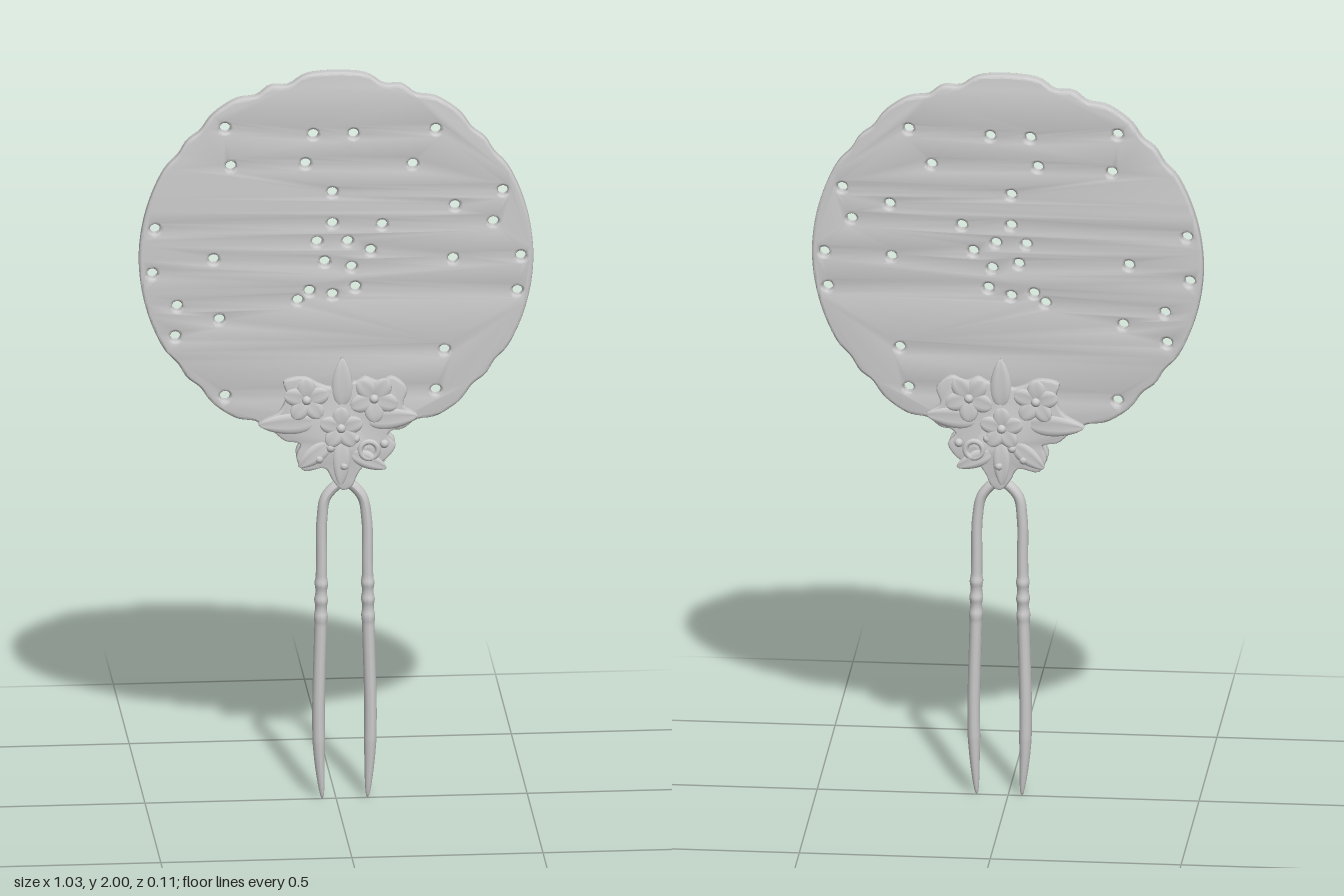
import * as THREE from 'three';
import { toCreasedNormals } from 'three/addons/utils/BufferGeometryUtils.js';

const material = new THREE.MeshStandardMaterial({ color: 0xcccccc });
const V = (x, y, z = 0) => new THREE.Vector3(x, y, z);

function add(parent, name, geometry, x = 0, y = 0, z = 0) {
  const mesh = new THREE.Mesh(geometry, material);
  mesh.name = name;
  mesh.position.set(x, y, z);
  parent.add(mesh);
  return mesh;
}

// Plate with rounded edges, centred on z = 0
function plate(shape, thickness, bevel) {
  const geometry = new THREE.ExtrudeGeometry(shape, {
    depth: thickness - 2 * bevel, bevelThickness: bevel, bevelSize: bevel,
    bevelOffset: -bevel, bevelSegments: 3, curveSegments: 8,
  });
  geometry.translate(0, 0, -thickness / 2 + bevel);
  return toCreasedNormals(geometry, 0.65);
}

function punch(shape, x, y, r) {
  const hole = new THREE.Path();
  hole.absarc(x, y, r, 0, Math.PI * 2, true);
  shape.holes.push(hole);
}

// Round fan, scalloped along the top and bottom
const HOLES = [
  [-.29, 1.85], [-.06, 1.83], [.045, 1.83], [.26, 1.84], [-.275, 1.745], [-.08, 1.75], [.2, 1.745],
  [-.01, 1.67], [.435, 1.67], [.31, 1.63], [-.473, 1.575], [-.01, 1.585], [.12, 1.58], [.41, 1.585],
  [-.05, 1.535], [.03, 1.535], [.09, 1.51], [-.32, 1.49], [-.03, 1.48], [.04, 1.465], [.305, 1.485],
  [.482, 1.49], [-.48, 1.453], [-.07, 1.40], [-.1, 1.375], [-.01, 1.39], [.05, 1.41], [.473, 1.395],
  [-.415, 1.363], [-.305, 1.325], [-.42, 1.28], [.283, 1.235], [-.29, 1.115], [.26, 1.125],
];
function fanGeometry() {
  const notches = [[15, .02], [25, .018], [45.5, .012], [55, .01]];
  const points = [];
  for (let i = 0; i < 240; i++) {
    const a = (i / 240) * Math.PI * 2;
    const fromVertical = THREE.MathUtils.radToDeg(Math.acos(Math.abs(Math.sin(a))));
    let r = 0.515 - 0.005 * Math.abs(Math.sin(a));
    for (const [angle, depth] of notches) r -= depth * Math.exp(-(((fromVertical - angle) / 4) ** 2));
    points.push(new THREE.Vector2(r * Math.cos(a), 1.49 + r * Math.sin(a)));
  }
  const shape = new THREE.Shape(points);
  for (const [x, y] of HOLES) punch(shape, x, y, 0.0135);
  return plate(shape, 0.034, 0.008);
}

// Outline of the leaf and flower cluster
const CLUSTER = [
  [.015, 1.222], [.03, 1.18], [.045, 1.155], [.075, 1.168], [.11, 1.155], [.145, 1.168], [.185, 1.135],
  [.175, 1.09], [.212, 1.06], [.175, 1.035], [.135, 1.01], [.155, .98], [.12, .935], [.075, .925],
  [.055, .9], [.04, .868], [.015, .858], [-.01, .885], [-.03, .918], [-.085, .912], [-.105, .95],
  [-.095, .985], [-.135, .995], [-.165, 1.02], [-.205, 1.04], [-.15, 1.075], [-.13, 1.12],
  [-.138, 1.158], [-.08, 1.168], [-.045, 1.15], [-.012, 1.142], [0, 1.185],
];
function clusterGeometry() {
  const curve = new THREE.CatmullRomCurve3(CLUSTER.map(([x, y]) => V(x, y)), true, 'centripetal');
  const shape = new THREE.Shape(curve.getPoints(128).slice(0, -1).map(p => new THREE.Vector2(p.x, p.y)));
  punch(shape, 0.085, 0.968, 0.014);
  return plate(shape, 0.022, 0.006);
}

// Padded petal growing along +x; sharp > 1 gives a pointed leaf, with a groove down the middle
function petalGeometry(length, width, thickness, sharp) {
  const geometry = new THREE.SphereGeometry(1, 16, 20);
  geometry.rotateZ(-Math.PI / 2);
  const p = geometry.attributes.position;
  for (let i = 0; i < p.count; i++) {
    const t = (p.getX(i) + 1) / 2;
    const y = p.getY(i);
    const taper = Math.pow(1 - t * 0.85, sharp - 1);
    const groove = 1 - 0.45 * Math.exp(-((y / 0.22) ** 2));
    p.setXYZ(i, t * length, y * width / 2 * taper, p.getZ(i) * thickness / 2 * groove);
  }
  geometry.computeVertexNormals();
  return geometry;
}

function buildOrnament(side) {
  const group = new THREE.Group();
  group.name = side > 0 ? 'frontOrnament' : 'backOrnament';
  add(group, 'clusterBody', clusterGeometry(), 0, 0, side * 0.022);

  const petal = (name, x, y, z, degrees, length, width, thickness, sharp, lift = 0.05) => {
    const mesh = add(group, name, petalGeometry(length, width, thickness, sharp), x, y, side * z);
    mesh.rotation.set(0, -side * lift, THREE.MathUtils.degToRad(degrees), 'ZYX');
  };

  // Pointed leaves: one upright, two to the sides, two low down
  const leaves = [
    [.015, 1.09, 90, .13, .065], [-.06, 1.045, 182, .142, .07], [.08, 1.05, 4, .13, .07],
    [-.02, .985, 218, .1, .06], [.04, .96, -25, .1, .055], [.015, .99, -92, .12, .055],
  ];
  for (const [x, y, angle, length, width] of leaves) {
    petal('leaf', x, y, .031, angle, length, width, .018, 1.35, 0);
  }

  // Five-petal flowers with round hearts
  const flowers = [[-.078, 1.108, .06, 20], [.098, 1.11, .064, 55], [.012, 1.03, .058, 90]];
  for (const [x, y, size, turn] of flowers) {
    for (let k = 0; k < 5; k++) petal('petal', x, y, .034, turn + k * 72, size, size * .8, .014, 1, .07);
    add(group, 'flowerHeart', new THREE.SphereGeometry(.0125, 14, 10), x, y, side * .037);
  }

  // Curl around the opening and small buds
  add(group, 'curl', new THREE.TorusGeometry(.023, .008, 8, 24), .085, .968, side * .032);
  for (const [x, y] of [[-.045, .945], [.02, .925], [-.015, .975], [.125, .985], [.05, 1.0]]) {
    add(group, 'bud', new THREE.SphereGeometry(.012, 12, 8), x, y, side * .031);
  }
  return group;
}

// Two-legged hairpin: a bent rod with collars and tapering tips
function pinGeometry() {
  const path = new THREE.CatmullRomCurve3([
    V(-.036, .004), V(-.044, .12), V(-.046, .25), V(-.04, .5), V(-.038, .65), V(-.037, .77),
    V(-.025, .835), V(.022, .872), V(.066, .835), V(.08, .77), V(.082, .65), V(.084, .5),
    V(.09, .25), V(.088, .12), V(.082, .004),
  ], false, 'centripetal');
  const segments = 320, sides = 14;
  const radiusAt = y => {
    let r = y < .5 ? .0165 : THREE.MathUtils.lerp(.0155, .0135, (y - .5) / .4);
    for (const collar of [.505, .55, .595]) r += .003 * Math.exp(-(((y - collar) / .011) ** 2));
    return r * Math.pow(Math.min(1, Math.max(0, y - .004) / .16), .45);
  };
  const geometry = new THREE.TubeGeometry(path, segments, 1, sides);
  const p = geometry.attributes.position;
  for (let i = 0; i < p.count; i++) {
    const c = path.getPointAt(Math.floor(i / (sides + 1)) / segments);
    const r = radiusAt(c.y);
    p.setXYZ(i, c.x + (p.getX(i) - c.x) * r, c.y + (p.getY(i) - c.y) * r, p.getZ(i) * r * 1.25);
  }
  geometry.computeVertexNormals();
  return geometry;
}

export function createModel() {
  const model = new THREE.Group();
  model.name = 'fanHairpin';

  // Fan and ornament are turned slightly relative to the pin
  const head = new THREE.Group();
  head.name = 'head';
  head.rotation.y = -0.043;
  head.position.z = -0.002;
  model.add(head);
  add(head, 'fan', fanGeometry());
  for (const side of [1, -1]) head.add(buildOrnament(side));

  add(model, 'pin', pinGeometry());
  add(model, 'neck', new THREE.SphereGeometry(.022, 18, 12), .02, .882, 0).scale.set(1, 1, 1.3);
  return model;
}
